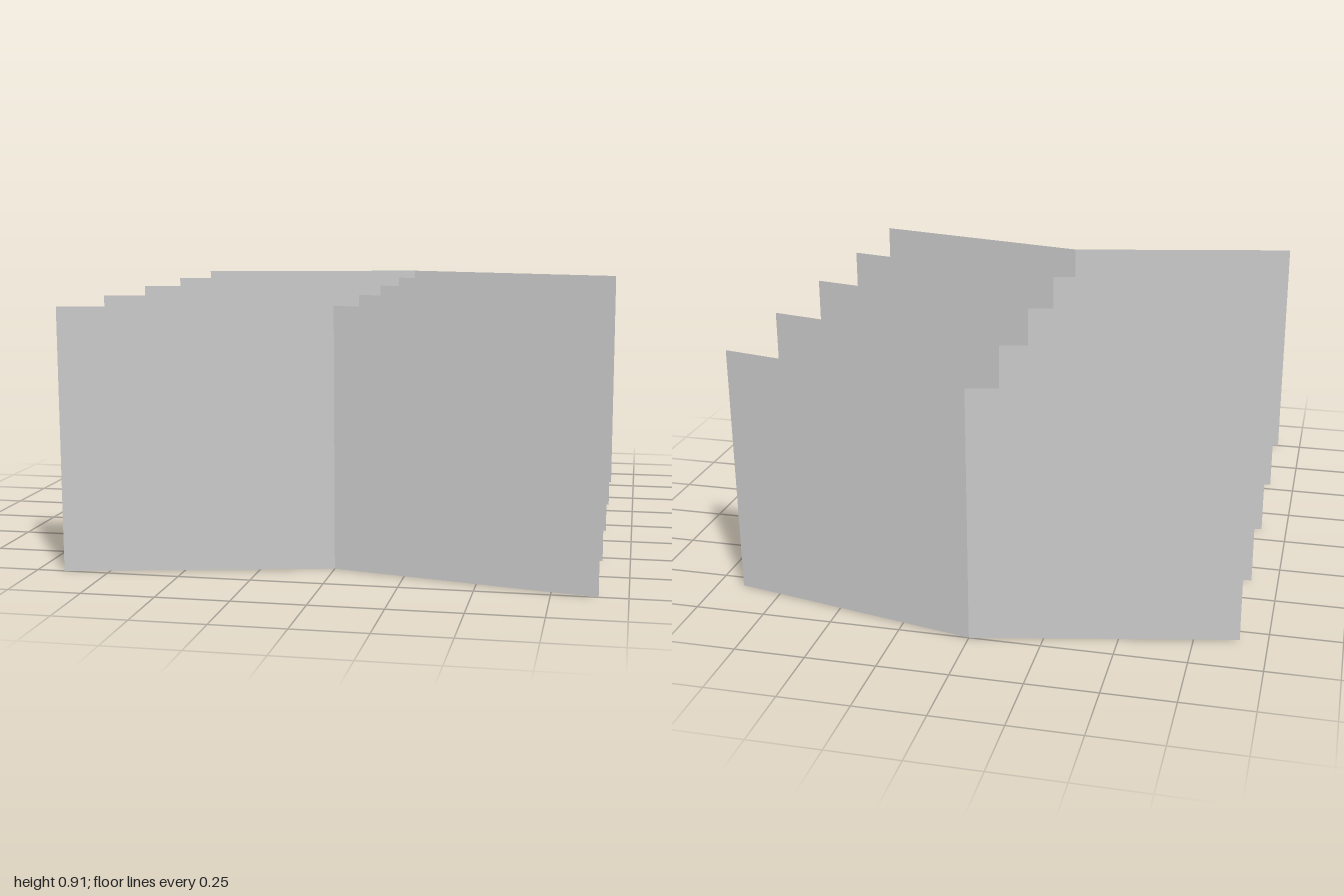
import * as THREE from 'three';

const HALF_WIDTH = 0.904, HEIGHT = 0.906, FOLD_DEPTH = 0.191;
const COUNT = 5, SPACING = (2 - FOLD_DEPTH) / (COUNT - 1);

// Thin sheet creased along its vertical centre line, the crease set back
function foldedSheetGeometry() {
  const geometry = new THREE.PlaneGeometry(2 * HALF_WIDTH, HEIGHT, 2, 1).toNonIndexed();
  geometry.translate(0, HEIGHT / 2, 0);
  const p = geometry.attributes.position;
  for (let i = 0; i < p.count; i++) {
    p.setZ(i, FOLD_DEPTH * (Math.abs(p.getX(i)) / HALF_WIDTH - 0.5));
  }
  geometry.computeVertexNormals();
  return geometry;
}

export function createModel() {
  const model = new THREE.Group();
  model.name = 'foldedSheets';
  const material = new THREE.MeshStandardMaterial({
    color: 0xcccccc, flatShading: true, side: THREE.DoubleSide,
  });
  const geometry = foldedSheetGeometry();

  // Evenly spaced row of sheets from front to back
  for (let i = 0; i < COUNT; i++) {
    const sheet = new THREE.Mesh(geometry, material);
    sheet.name = `foldedSheet${i + 1}`;
    sheet.position.z = ((COUNT - 1) / 2 - i) * SPACING;
    model.add(sheet);
  }
  return model;
}
